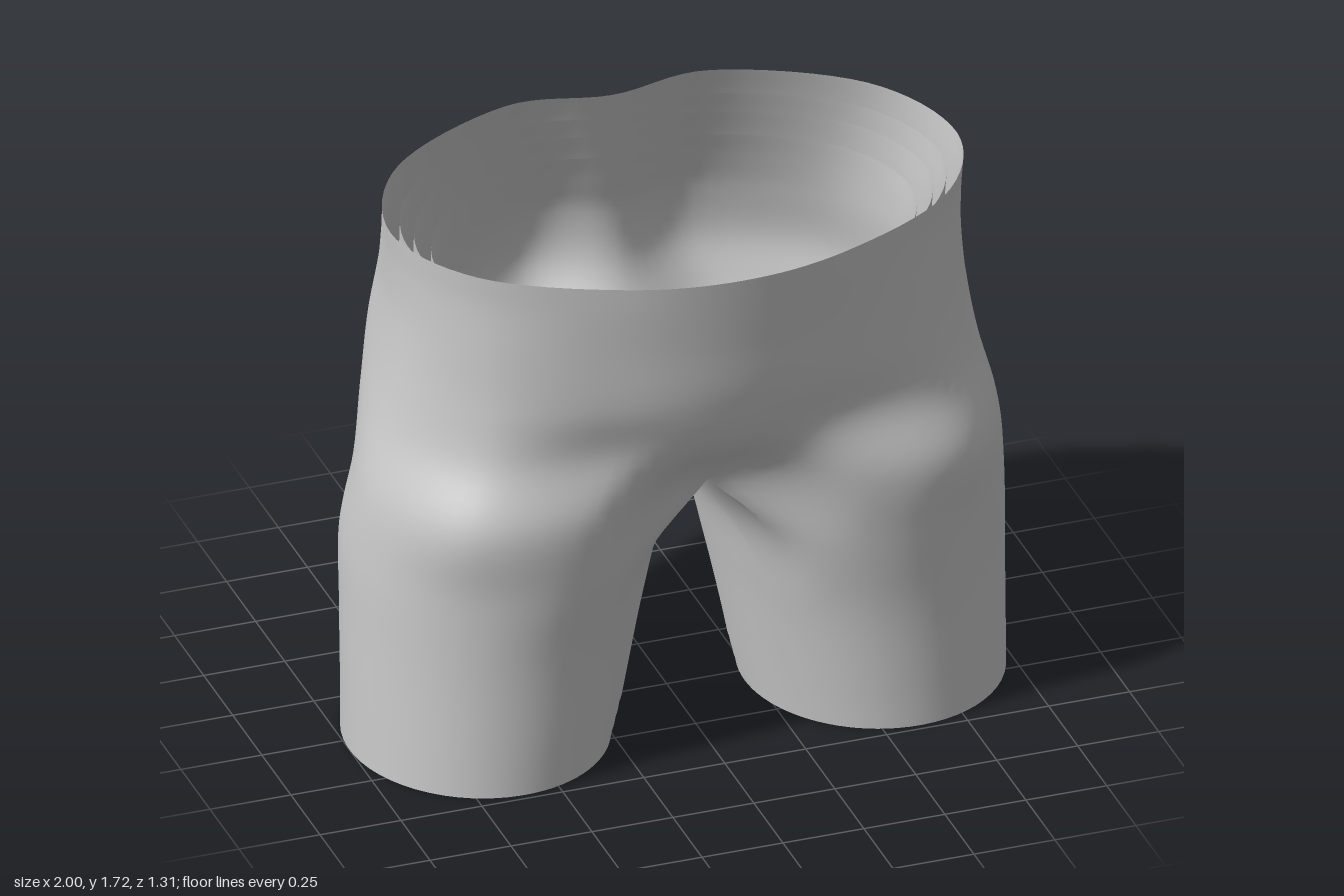
import * as THREE from 'three';
import { mergeGeometries, mergeVertices } from 'three/addons/utils/BufferGeometryUtils.js';

const V = (x, y, z) => new THREE.Vector3(x, y, z);
const OUT = 48, INN = 24, SUB = 6; // columns round the outside, inside of the thigh, rows per level

// Leg sections: y, centre x, centre z, radius x, radius z
const LEGS = [
  [0, 0.61, 0.055, 0.39, 0.425],
  [0.13, 0.597, 0.054, 0.403, 0.428],
  [0.4, 0.568, 0.045, 0.432, 0.445],
  [0.65, 0.535, 0.042, 0.462, 0.474],
];
// Angles round the leg: front centre, hip, back centre, inner thigh, front centre
const ANGLES = [134, 100, 55, 5, -50, -98, -132, -155, -180, -205, -226];

// Where legs meet the torso: front centre to back centre, then the crotch seam
const HIP = [
  V(0, 0.89, 0.37), V(0.42, 0.88, 0.525), V(0.79, 0.88, 0.46), V(0.97, 0.88, 0.1),
  V(0.83, 0.88, -0.27), V(0.43, 0.88, -0.48), V(0, 0.91, -0.33),
];
const SEAM = [HIP[6], V(0, 0.85, -0.17), V(0, 0.82, 0.03), V(0, 0.84, 0.22), HIP[0]];

// Torso sections: y, then x/z pairs from front centre to back centre
const TORSO = [
  [1.08, [0, 0.53], [0.34, 0.5], [0.71, 0.42], [0.922, 0.09], [0.8, -0.33], [0.38, -0.59], [0, -0.48]],
  [1.25, [0, 0.585], [0.32, 0.54], [0.69, 0.41], [0.89, 0.08], [0.76, -0.39], [0.33, -0.65], [0, -0.56]],
  [1.45, [0, 0.615], [0.33, 0.56], [0.7, 0.395], [0.867, 0.07], [0.735, -0.36], [0.32, -0.62], [0, -0.56]],
  [1.6, [0, 0.637], [0.34, 0.578], [0.71, 0.385], [0.867, 0.065], [0.73, -0.32], [0.32, -0.56], [0, -0.51]],
  [1.69, [0, 0.65], [0.34, 0.59], [0.72, 0.385], [0.875, 0.06], [0.725, -0.29], [0.32, -0.505], [0, -0.465]],
];

// Nested layers shrink towards this point
const CORE = V(0, 0.8, 0.12);
const LAYERS = [['outerShorts', 1], ['firstLining', 0.94], ['secondLining', 0.893], ['innerLining', 0.835]];

const spline = (pts, closed = false) => new THREE.CatmullRomCurve3(pts, closed, 'catmullrom', 0.5);
const column = (pts) => new THREE.CatmullRomCurve3(pts, false, 'centripetal').getPoints((pts.length - 1) * SUB);

// Point on a leg section; k runs 0..10 through ANGLES
function legPoint([y, cx, cz, rx, rz], k) {
  const i = Math.min(Math.floor(k), 9);
  const a = THREE.MathUtils.degToRad(THREE.MathUtils.lerp(ANGLES[i], ANGLES[i + 1], k - i));
  return V(cx + rx * Math.cos(a), y, cz + rz * Math.sin(a));
}

// Closed torso curve from its half; its first half runs front to back
function fullRing(half) {
  const other = half.slice(1, -1).reverse().map(p => V(-p.x, p.y, p.z));
  return spline([...half, ...other], true);
}

// Surface through columns of points (columns left to right, rows upward)
function grid(cols) {
  const rows = cols[0].length, pos = [], idx = [];
  for (const c of cols) for (const p of c) pos.push(Math.abs(p.x) < 1e-5 ? 0 : p.x, p.y, p.z);
  for (let i = 0; i < cols.length - 1; i++) {
    for (let j = 0; j < rows - 1; j++) {
      const a = i * rows + j, b = a + rows;
      idx.push(a, b, b + 1, a, b + 1, a + 1);
    }
  }
  const g = new THREE.BufferGeometry();
  g.setAttribute('position', new THREE.Float32BufferAttribute(pos, 3));
  g.setIndex(idx);
  return g;
}

function mirrored(g) {
  const m = g.clone().scale(-1, 1, 1), ix = m.index.array;
  for (let i = 0; i < ix.length; i += 3) [ix[i + 1], ix[i + 2]] = [ix[i + 2], ix[i + 1]];
  return m;
}

function shortsGeometry() {
  // Columns on the outside run from hem to waist; the rim rises slightly to the back
  const rings = [HIP, ...TORSO.map(([y, ...p], n) => p.map(([x, z]) =>
    V(x, n === TORSO.length - 1 ? y + 0.025 * (0.65 - z) : y, z)))].map(fullRing);
  const outer = [];
  for (let i = 0; i <= OUT; i++) {
    const s = i / OUT;
    outer.push(column([...LEGS.map(l => legPoint(l, 6 * s)), ...rings.map(r => r.getPoint(s / 2))]));
  }

  // Columns on the inner thigh run from hem to crotch seam
  const seam = spline(SEAM), legRows = LEGS.length * SUB + 1;
  const inner = [outer[OUT].slice(0, legRows)];
  for (let i = 1; i < INN; i++) {
    const s = i / INN;
    inner.push(column([...LEGS.map(l => legPoint(l, 6 + 4 * s)), seam.getPoint(s)]));
  }
  inner.push(outer[0].slice(0, legRows));

  const halves = [grid(outer), grid(inner)];
  const g = mergeVertices(mergeGeometries([...halves, ...halves.map(mirrored)]), 1e-5);
  g.computeVertexNormals();
  return g;
}

export function createModel() {
  const group = new THREE.Group();
  const material = new THREE.MeshStandardMaterial({ color: 0xcccccc, side: THREE.DoubleSide });
  const geometry = shortsGeometry();
  for (const [name, s] of LAYERS) {
    const layer = new THREE.Mesh(geometry, material);
    layer.name = name;
    layer.scale.setScalar(s);
    layer.position.copy(CORE).multiplyScalar(1 - s);
    group.add(layer);
  }
  return group;
}
